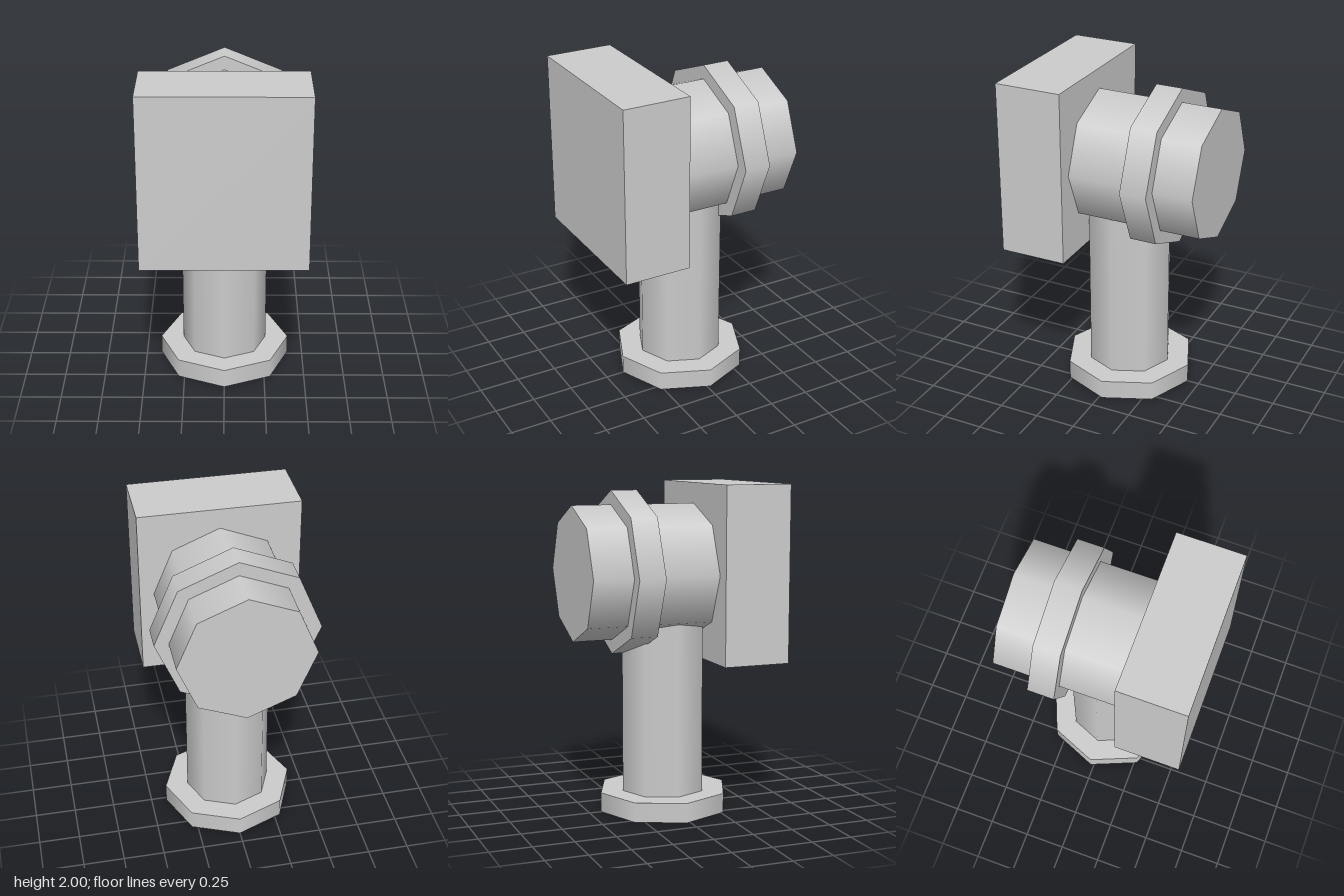
import * as THREE from 'three';

export function createModel() {
  const model = new THREE.Group();
  const grey = new THREE.MeshStandardMaterial({ color: 0xcccccc });
  grey.name = 'light grey';

  function add(name, geometry, x, y, z) {
    const mesh = new THREE.Mesh(geometry, grey);
    mesh.name = name;
    mesh.position.set(x, y, z);
    model.add(mesh);
  }

  // Eight-sided cylinders with smooth sides and corners on the axes
  const upright = (radius, height) => new THREE.CylinderGeometry(radius, radius, height, 8);
  const lying = (radius, length) => upright(radius, length).rotateX(Math.PI / 2);

  // Stand: foot disc and post running up into the barrel
  add('foot', upright(0.405, 0.12), 0, 0.06, -0.02);
  add('post', upright(0.263, 1.18), 0, 0.71, -0.02);

  // Head: square block in front, barrel and collar behind
  add('headBlock', new THREE.BoxGeometry(0.98, 1.06, 0.41), 0, 1.47, 0.388);
  add('barrel', lying(0.405, 0.8), 0, 1.47, -0.193);
  add('collar', lying(0.49, 0.163), 0, 1.47, -0.267);

  return model;
}
